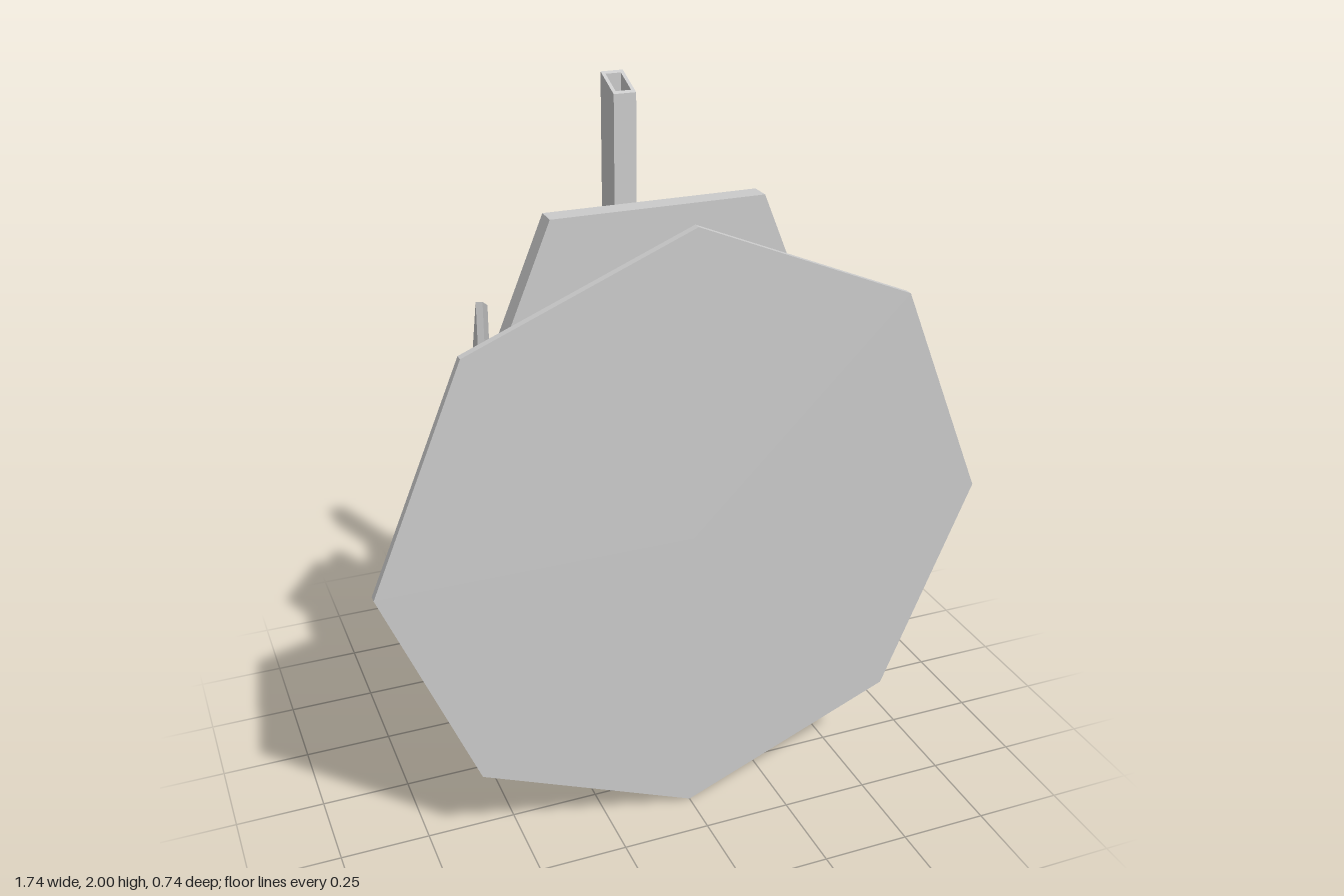
import * as THREE from 'three';

const V2 = (x, y) => new THREE.Vector2(x, y);
const V3 = (x, y, z) => new THREE.Vector3(x, y, z);
const material = new THREE.MeshStandardMaterial({ color: 0xcccccc, flatShading: true });

function add(parent, name, geometry) {
  const flat = geometry.index ? geometry.toNonIndexed() : geometry;
  flat.computeVertexNormals();
  const mesh = new THREE.Mesh(flat, material);
  mesh.name = name;
  parent.add(mesh);
  return mesh;
}

// Mirror a geometry across x = 0, keeping its faces outward
function mirrored(geometry) {
  const g = geometry.index ? geometry.toNonIndexed() : geometry.clone();
  const p = g.attributes.position;
  for (let i = 0; i < p.count; i += 3) {
    const [a, b, c] = [0, 1, 2].map(k => V3().fromBufferAttribute(p, i + k));
    [a, c, b].forEach((v, k) => p.setXYZ(i + k, -v.x, v.y, v.z));
  }
  return g;
}

// Skin over outlines (counter-clockwise from +z), ordered from +z to -z
function loft(layers) {
  const pos = [], n = layers[0].pts.length;
  const rings = layers.map(l => l.pts.map(([x, y]) => V3(x, y, l.z)));
  const tri = (...v) => v.forEach(p => pos.push(p.x, p.y, p.z));
  for (let r = 0; r < rings.length - 1; r++) {
    const a = rings[r], b = rings[r + 1];
    for (let i = 0; i < n; i++) {
      const j = (i + 1) % n;
      tri(a[i], b[i], a[j]);
      tri(a[j], b[i], b[j]);
    }
  }
  const cap = (l, ring, back) => {
    const faces = THREE.ShapeUtils.triangulateShape(l.pts.map(([x, y]) => V2(x, y)), []);
    for (const [i, j, k] of faces) back ? tri(ring[i], ring[k], ring[j]) : tri(ring[i], ring[j], ring[k]);
  };
  cap(layers[0], rings[0], false);
  cap(layers.at(-1), rings.at(-1), true);
  return new THREE.BufferGeometry().setAttribute('position', new THREE.Float32BufferAttribute(pos, 3));
}

// Raised border around a flat convex polygon
function frame(corners, border, height) {
  const o = corners[0];
  const ex = corners[1].clone().sub(o).normalize();
  const ez = ex.clone().cross(corners[2].clone().sub(o)).normalize();
  const ey = ez.clone().cross(ex);
  const pts = corners.map(c => c.clone().sub(o)).map(c => V2(c.dot(ex), c.dot(ey)));
  const n = pts.length;
  const inner = pts.map((p, i) => {
    const d0 = p.clone().sub(pts[(i + n - 1) % n]).normalize();
    const d1 = pts[(i + 1) % n].clone().sub(p).normalize();
    const s = border / d0.cross(d1);
    return p.clone().addScaledVector(d1, s).addScaledVector(d0, -s);
  });
  const shape = new THREE.Shape(pts);
  shape.holes.push(new THREE.Path(inner));
  const g = new THREE.ExtrudeGeometry(shape, { depth: height, bevelEnabled: false });
  return g.applyMatrix4(new THREE.Matrix4().makeBasis(ex, ey, ez).setPosition(o));
}

// Eight-sided turned part along z; profile is [radius, z] with z rising outside
const turned = profile => new THREE.LatheGeometry(profile.map(([r, z]) => V2(r, z)), 8)
  .rotateX(Math.PI / 2).translate(0, 0.87, 0);

// Half outline mirrored to a full counter-clockwise one, starting at the bottom
const symmetric = half => [...half, ...half.map(([x, y]) => [-x, y]).reverse()];

export function createModel() {
  const model = new THREE.Group();
  model.name = 'dishUnit';

  // Dish with framed segments on its back
  const dish = new THREE.Group();
  dish.name = 'dish';
  model.add(dish);
  add(dish, 'dishPlate', turned([[0, 0.36], [0.87, 0.36], [0.87, 0.37], [0, 0.37]]));
  for (let k = 0; k < 8; k++) {
    const at = (r, i) => V3(r * Math.cos(i * Math.PI / 4), 0.87 + r * Math.sin(i * Math.PI / 4), 0.36);
    add(dish, 'dishSegmentFrame', frame([at(0.44, k), at(0.44, k + 1), at(0.87, k + 1), at(0.87, k)], 0.02, 0.012));
  }

  // Hub and stepped neck
  add(model, 'hub', turned([[0, 0.295], [0.35, 0.295], [0.38, 0.265], [0.475, 0.265], [0.49, 0.285], [0.49, 0.36], [0, 0.36]]));
  add(model, 'neck', turned([[0.18, 0.1], [0.18, 0.145], [0.23, 0.145], [0.23, 0.195], [0.18, 0.195],
    [0.18, 0.21], [0.2, 0.21], [0.2, 0.3]]));

  // Body shell: flange, taper, then shoulders with a valley between them
  const outline = (s, valleyX, valleyY) => symmetric([
    ...[[0.17, 0.2], [0.39, 0.33], [0.47, 0.42], [0.47, 1.31], [0.3, 1.72]].map(([x, y]) => [x * s, 0.93 + (y - 0.93) * s]),
    [valleyX, valleyY]]);
  add(model, 'body', loft([
    { z: 0.12, pts: outline(1, 0.25, 1.72) },
    { z: 0.06, pts: outline(1, 0.25, 1.72) },
    { z: -0.07, pts: outline(0.87, 0.22, 1.617) },
    { z: -0.08, pts: outline(0.86, 0.22, 1.45) },
    { z: -0.29, pts: outline(0.7, 0.19, 1.33) },
  ]));

  // Raised frames on the slanted shoulders
  const onBody = (x, y, s, z) => V3(x * s, 0.93 + (y - 0.93) * s, z);
  const shoulder = frame([onBody(0.3, 1.72, 0.86, -0.08), onBody(0.47, 1.31, 0.86, -0.08),
    onBody(0.47, 1.31, 0.7, -0.29), onBody(0.3, 1.72, 0.7, -0.29)], 0.03, 0.012);
  add(model, 'leftShoulderFrame', shoulder);
  add(model, 'rightShoulderFrame', mirrored(shoulder));

  // Screen box with slanted underside
  add(model, 'screenBox', loft([
    { z: -0.2, pts: symmetric([[0.19, 0.98], [0.19, 1.35]]) },
    { z: -0.29, pts: symmetric([[0.19, 0.98], [0.19, 1.33]]) },
    { z: -0.32, pts: symmetric([[0.185, 1.05], [0.185, 1.315]]) },
  ]));
  add(model, 'screenFrame', frame([V3(0.185, 1.05, -0.32), V3(-0.185, 1.05, -0.32),
    V3(-0.185, 1.315, -0.32), V3(0.185, 1.315, -0.32)], 0.035, 0.018));

  // Bevelled rounded bulge under the screen
  add(model, 'bulge', loft([
    { z: -0.28, pts: symmetric([[0.11, 0.43], [0.24, 0.5], [0.31, 0.6], [0.31, 0.9], [0.2, 0.99]]) },
    { z: -0.31, pts: symmetric([[0.1, 0.46], [0.22, 0.53], [0.27, 0.62], [0.265, 0.89], [0.19, 0.96]]) },
    { z: -0.338, pts: symmetric([[0.08, 0.53], [0.16, 0.58], [0.2, 0.66], [0.185, 0.83], [0.15, 0.88]]) },
  ]));

  // Slanted side panels on struts
  const rim = [[0, 0.245], [0.36, 0.32], [0.36, 1.325], [0, 1.47]];
  const face = [[0.045, 0.33], [0.33, 0.42], [0.33, 1.225], [0.045, 1.31]];
  const panel = loft([{ z: 0.035, pts: face }, { z: 0.018, pts: rim }, { z: 0, pts: rim }])
    .rotateY(THREE.MathUtils.degToRad(107.5)).translate(0.445, 0, -0.025);
  const strut = new THREE.BoxGeometry(0.12, 0.3, 0.08)
    .rotateY(THREE.MathUtils.degToRad(17.5)).translate(0.34, 0.87, -0.19);
  add(model, 'leftSidePanel', panel);
  add(model, 'rightSidePanel', mirrored(panel));
  add(model, 'leftStrut', strut);
  add(model, 'rightStrut', mirrored(strut));

  // Antenna socket and hollow mast with a slanted tip
  add(model, 'antennaSocket', new THREE.CylinderGeometry(0.09, 0.11, 0.3, 8).translate(0, 1.43, -0.185));
  const rect = (x, y0, y1) => [V2(-x, y0), V2(x, y0), V2(x, y1), V2(-x, y1)];
  const section = new THREE.Shape(rect(0.032, 0.13, 0.23));
  section.holes.push(new THREE.Path(rect(0.022, 0.142, 0.218)));
  const mast = new THREE.ExtrudeGeometry(section, { depth: 0.4, bevelEnabled: false })
    .rotateX(-Math.PI / 2).translate(0, 1.56, 0);
  const p = mast.attributes.position;
  for (let i = 0; i < p.count; i++) if (p.getY(i) > 1.8) p.setY(i, 1.96 + (-0.13 - p.getZ(i)) * 0.4);
  add(model, 'antennaMast', mast);

  return model;
}
